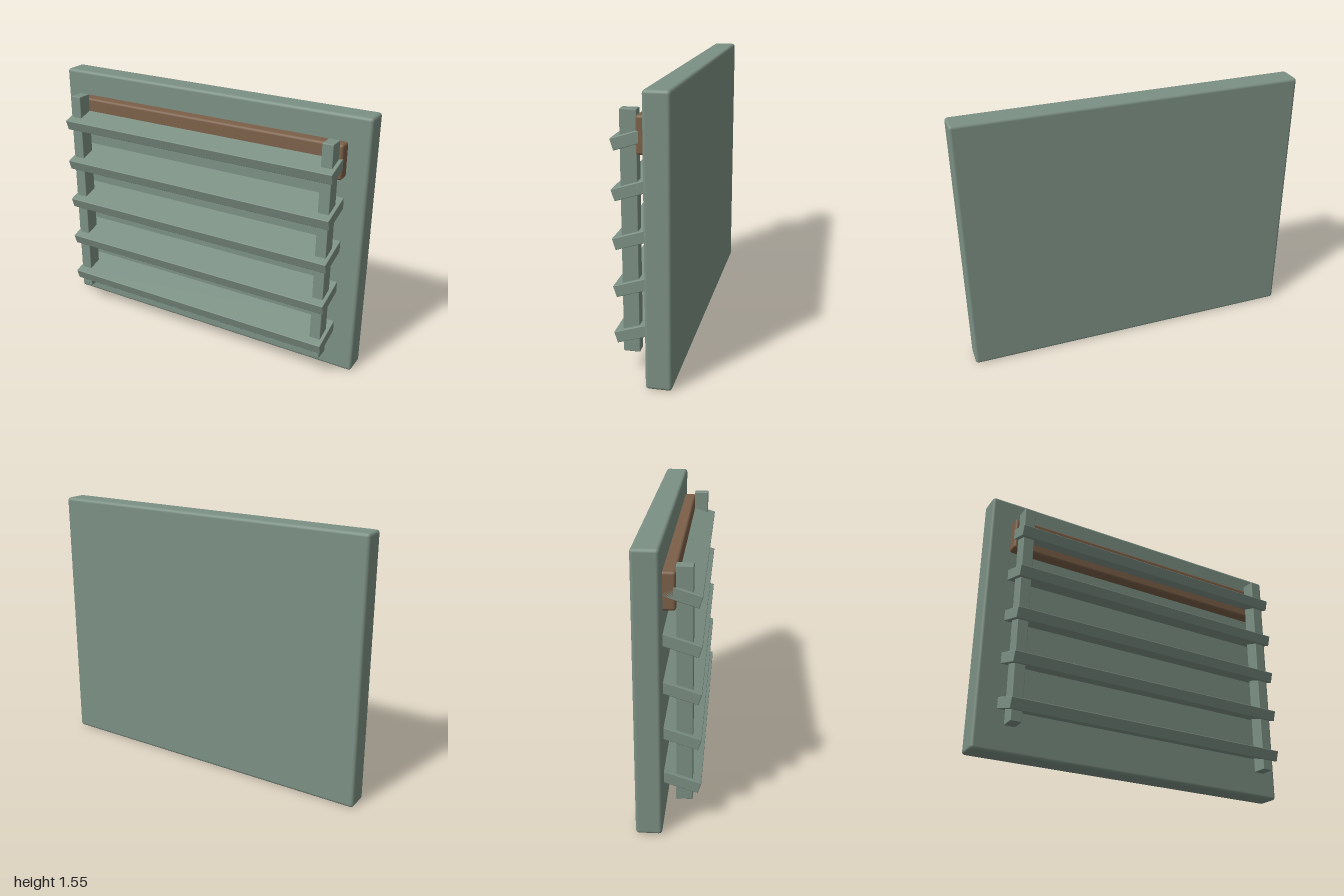
import * as THREE from 'three';
import { RoundedBoxGeometry } from 'three/addons/geometries/RoundedBoxGeometry.js';

export function createModel() {
  const model = new THREE.Group();
  model.name = 'louvredShutter';

  const green = new THREE.MeshStandardMaterial({ color: 0x7c9084 });
  green.name = 'sageGreen';
  const brown = new THREE.MeshStandardMaterial({ color: 0x7c6049 });
  brown.name = 'woodBrown';

  // Adds a softly rounded block centred at (x, y, z)
  function block(name, material, [w, h, d], [x, y, z], radius) {
    const mesh = new THREE.Mesh(new RoundedBoxGeometry(w, h, d, 2, radius), material);
    mesh.name = name;
    mesh.position.set(x, y, z);
    model.add(mesh);
    return mesh;
  }

  // Backing panel
  block('backPanel', green, [2, 1.55, 0.14], [0, 0.775, -0.096], 0.018);

  // Wooden rail fixed to the panel near the top
  block('woodRail', brown, [1.75, 0.2, 0.09], [0, 1.305, -0.005], 0.015);

  // Upright posts carrying the slats
  for (const [side, name] of [[1, 'leftPost'], [-1, 'rightPost']]) {
    block(name, green, [0.064, 1.3, 0.088], [side * 0.823, 0.78, 0.081], 0.004);
  }

  // Tilted slats, sloping down towards the front
  const tilt = 0.31;
  const length = 0.23, thickness = 0.064;
  for (let i = 0; i < 5; i++) {
    const frontTop = 0.243 + i * 0.26;
    // centre found from the upper front edge
    const y = frontTop + Math.sin(tilt) * length / 2 - Math.cos(tilt) * thickness / 2;
    const z = 0.172 - Math.cos(tilt) * length / 2 - Math.sin(tilt) * thickness / 2;
    const slat = block('slat' + (i + 1), green, [1.75, thickness, length], [0, y, z], 0.004);
    slat.rotation.x = tilt;
  }

  return model;
}
